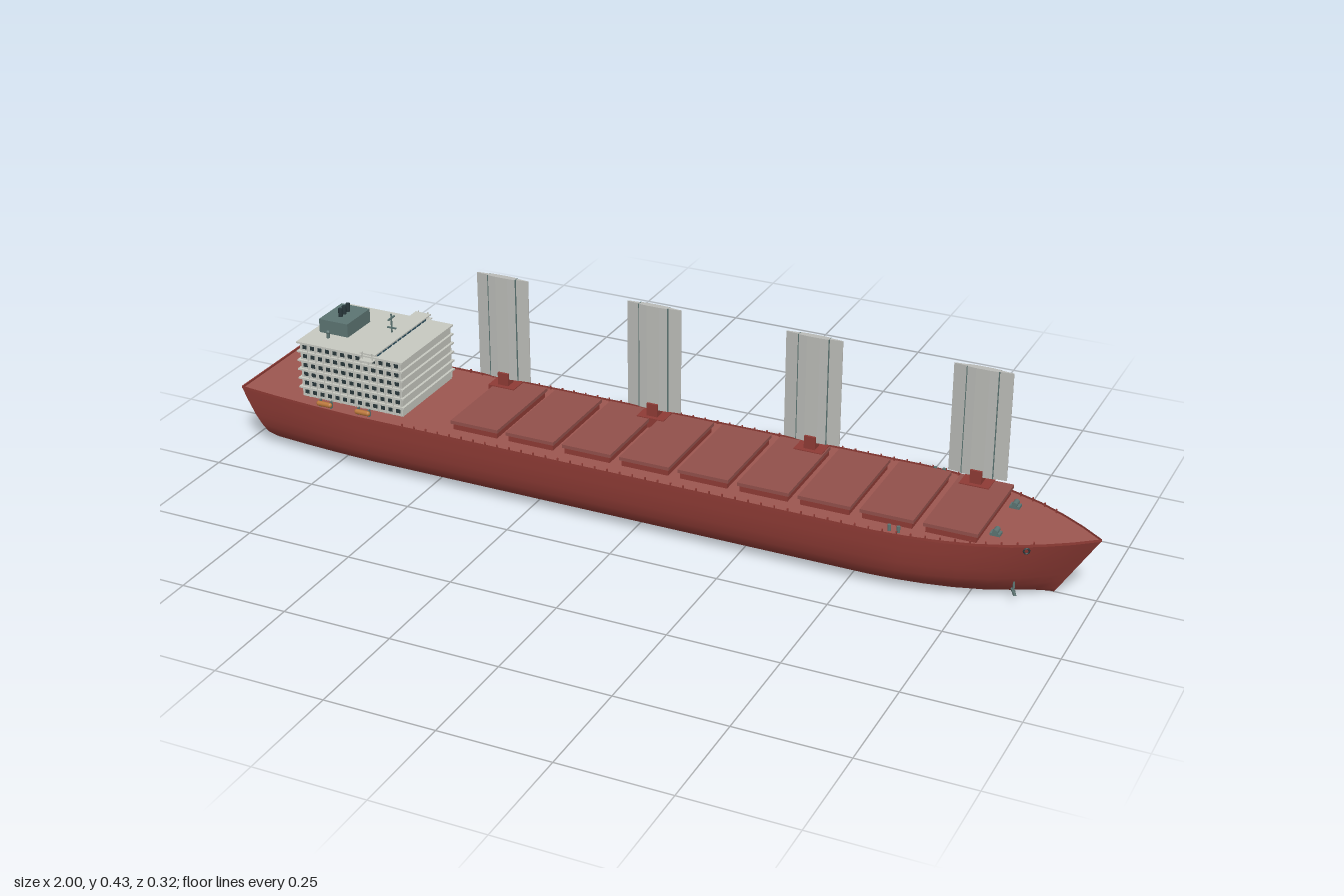
import * as THREE from 'three';
import { mergeGeometries } from 'three/addons/utils/BufferGeometryUtils.js';

const mat = (color) => new THREE.MeshStandardMaterial({ color, side: THREE.DoubleSide });
const DECK = 0.145;

// Deck outline: x, half width
const outline = [[-1, 0.136], [-0.9, 0.147], [-0.8, 0.155], [-0.68, 0.161], [-0.3, 0.161], [0.2, 0.161], [0.56, 0.161],
  [0.63, 0.156], [0.7, 0.145], [0.77, 0.128], [0.84, 0.102], [0.9, 0.07], [0.95, 0.038], [0.98, 0.015], [1, 0]];
// Midship section: share of half width, y
const section = [[1, 0.145], [0.995, 0.115], [0.975, 0.08], [0.93, 0.055], [0.87, 0.035], [0.69, 0.013], [0.38, 0.005], [0, 0.003]];
const ring = [...section, ...section.slice(0, -1).reverse().map(([w, y]) => [-w, y])];

function halfWidth(x) {
  const i = Math.max(1, outline.findIndex((p) => p[0] >= x));
  const [a, b] = [outline[i - 1], outline[i]];
  return a[1] + (b[1] - a[1]) * (x - a[0]) / (b[0] - a[0]);
}

// Skin over rows of points with equal length
function loft(rows) {
  const n = rows[0].length, index = [];
  for (let i = 0; i < rows.length - 1; i++) {
    for (let j = 0; j < n - 1; j++) {
      const a = i * n + j, b = a + n;
      index.push(a, a + 1, b, a + 1, b + 1, b);
    }
  }
  const g = new THREE.BufferGeometry();
  g.setAttribute('position', new THREE.Float32BufferAttribute(rows.flat(2), 3));
  g.setIndex(index);
  g.computeVertexNormals();
  return g;
}

// Raked stem and stern: ends draw in towards the keel
function hullPoint(x, hw, [w, y]) {
  const drop = 1 - y / DECK;
  const rake = x > 0 ? 0.093 * Math.max(0, (x - 0.4) / 0.6) : -0.068 * Math.max(0, (-x - 0.6) / 0.4);
  return [x - rake * drop, y, w * hw];
}

const box = (w, h, d, x, y, z) => new THREE.BoxGeometry(w, h, d).translate(x, y, z);
const rod = (r, h, x, y, z, n = 8) => new THREE.CylinderGeometry(r, r, h, n).translate(x, y, z);

export function createModel() {
  const ship = new THREE.Group();
  const red = mat(0x8e3b35), deckRed = mat(0x9c5650), hatchRed = mat(0x91504b), white = mat(0xc6c8c0);
  const teal = mat(0x5c7472), dark = mat(0x27363a), glass = mat(0x2c5060), orange = mat(0xb87638), sailGrey = mat(0xb9bab6);
  const add = (name, geos, material, parent = ship) => {
    const mesh = new THREE.Mesh(Array.isArray(geos) ? mergeGeometries(geos) : geos, material);
    mesh.name = name;
    parent.add(mesh);
    return mesh;
  };

  // Hull, transom and deck
  add('hull', loft(outline.map(([x, hw]) => ring.map((p) => hullPoint(x, hw, p)))), red);
  const [sx, sw] = outline[0];
  add('transom', loft([section.map(([w, y]) => hullPoint(sx, sw, [-w, y])), section.map((p) => hullPoint(sx, sw, p))]), red);
  add('deck', loft(outline.map(([x, hw]) => [[x, DECK - 0.001, -hw], [x, DECK - 0.001, hw]])), deckRed);
  for (const s of [1, -1]) {
    add('bulwark', loft(outline.map(([x, hw]) => [[x, DECK - 0.002, s * hw], [x, DECK + 0.004, s * hw]])), red);
  }
  add('sternBulwark', box(0.003, 0.006, 0.27, -0.9985, 0.146, 0), red);

  // Rail posts along the deck edge
  const posts = [];
  for (let x = -0.56; x < 0.9; x += 0.03) {
    for (const s of [1, -1]) posts.push(box(0.003, 0.009, 0.003, x, 0.149, s * (halfWidth(x) - 0.003)));
  }
  add('railPosts', posts, red);

  // Cargo hatches
  const coamings = [], covers = [];
  for (let i = 0; i < 9; i++) {
    const x = -0.398 + 0.139 * i;
    coamings.push(box(0.11, 0.016, 0.23, x, 0.152, 0));
    covers.push(box(0.118, 0.008, 0.24, x, 0.163, 0));
  }
  add('hatchCoamings', coamings, red);
  add('hatchCovers', covers, hatchRed);

  // Accommodation block: floors, overhanging slabs, window rows
  const house = new THREE.Group();
  house.name = 'accommodation';
  ship.add(house);
  add('houseWalls', box(0.264, 0.135, 0.222, -0.717, 0.2125, 0), white, house);
  const slabs = [], windows = [], balconyPosts = [];
  for (let f = 0; f < 6; f++) {
    const y = 0.168 + f * 0.0223;
    slabs.push(box(0.276, 0.004, 0.234, -0.717, y, 0));
    for (let k = 0; k < 13; k++) {
      const x = -0.837 + k * 0.02;
      for (const s of [1, -1]) {
        windows.push(box(0.01, 0.009, 0.002, x, y - 0.011, s * 0.1115));
        balconyPosts.push(box(0.002, 0.02, 0.002, x + 0.01, y - 0.011, s * 0.115));
      }
    }
    for (let k = 0; k < 9; k++) windows.push(box(0.002, 0.009, 0.01, -0.8495, y - 0.011, -0.088 + k * 0.022));
  }
  add('floorSlabs', slabs, white, house);
  add('cabinWindows', windows, dark, house);
  add('balconyPosts', balconyPosts, white, house);

  // Bridge with wings
  const bridge = new THREE.Group();
  bridge.name = 'bridge';
  ship.add(bridge);
  add('bridgeRoof', [box(0.04, 0.003, 0.25, -0.662, 0.2905, 0), box(0.03, 0.01, 0.225, -0.662, 0.284, 0)], white, bridge);
  const panes = [];
  for (let i = 0; i < 10; i++) {
    for (const s of [1, -1]) panes.push(box(0.002, 0.008, 0.017, -0.662 + s * 0.0155, 0.2845, -0.099 + i * 0.022));
  }
  add('bridgeWindows', panes, glass, bridge);
  const wings = [box(0.034, 0.002, 0.272, -0.662, 0.277, 0)];
  for (const s of [1, -1]) wings.push(rod(0.0015, 0.018, -0.65, 0.286, s * 0.125), rod(0.0015, 0.018, -0.675, 0.286, s * 0.125));
  add('bridgeWings', wings, white, bridge);
  add('radarMast', [rod(0.002, 0.05, -0.672, 0.312, 0), box(0.004, 0.003, 0.028, -0.672, 0.327, 0),
    box(0.022, 0.003, 0.004, -0.672, 0.303, 0)], teal, bridge);

  // Funnel casing and exhaust pipes
  add('funnel', box(0.075, 0.036, 0.098, -0.797, 0.296, 0), teal);
  add('exhaustPipes', [-1, 0, 1].map((i) => rod(0.005, 0.024, -0.797, 0.322, i * 0.016, 12)), dark);
  const vents = [];
  for (const s of [1, -1]) {
    vents.push(rod(0.004, 0.014, -0.8, 0.288, s * 0.068), new THREE.SphereGeometry(0.005, 8, 6).translate(-0.8, 0.295, s * 0.068));
  }
  add('roofVents', vents, teal);

  // Wing sails: thick centre with thin leading and trailing flaps
  const half = [[-0.065, 0.001], [-0.036, 0.004], [-0.034, 0.006], [-0.015, 0.0075], [0.015, 0.0075], [0.034, 0.006], [0.036, 0.004], [0.065, 0.001]];
  const profile = new THREE.Shape([...half, ...half.map(([x, z]) => [x, -z]).reverse()].map(([x, z]) => new THREE.Vector2(x, z)));
  const sailGeo = new THREE.ExtrudeGeometry(profile, { depth: 0.25, bevelEnabled: false }).rotateX(-Math.PI / 2);
  [-0.435, -0.058, 0.32, 0.698].forEach((x) => {
    const rig = new THREE.Group();
    rig.name = 'wingSail';
    rig.position.set(x, 0, -0.098);
    ship.add(rig);
    add('sail', sailGeo, sailGrey, rig).position.y = 0.184;
    add('sailEdges', [-0.035, 0.035].map((e) => box(0.002, 0.25, 0.0125, e, 0.309, 0)), teal, rig);
    add('sailBase', [box(0.066, 0.024, 0.046, 0, 0.157, 0), box(0.026, 0.034, 0.026, 0, 0.182, 0)], red, rig);
  });

  // Lifeboats with cradles
  for (const s of [1, -1]) {
    for (const x of [-0.77, -0.67]) {
      const boat = new THREE.Group();
      boat.name = 'lifeboat';
      boat.position.set(x, 0.154, s * 0.147);
      ship.add(boat);
      add('boatHull', new THREE.CapsuleGeometry(0.006, 0.028, 4, 10).rotateZ(Math.PI / 2), orange, boat);
      add('davits', [-1, 1].map((i) => box(0.003, 0.018, 0.008, i * 0.014, -0.002, -s * 0.007)), teal, boat);
    }
  }

  // Mooring gear, anchors and hawse pipes on both bows
  for (const s of [1, -1]) {
    const drum = rod(0.006, 0.02, 0, 0, 0, 12).rotateX(Math.PI / 2).translate(0.795, 0.154, s * 0.065);
    add('windlass', [box(0.022, 0.006, 0.018, 0.795, 0.148, s * 0.065), drum], teal);
    add('bollards', [0.59, 0.61].map((x) => rod(0.004, 0.014, x, 0.152, s * 0.142)), teal);
    const anchor = new THREE.Group();
    anchor.name = 'anchor';
    anchor.position.set(0.84, 0.02, s * 0.064);
    anchor.rotation.y = s * 0.5;
    ship.add(anchor);
    add('anchorShank', [box(0.004, 0.03, 0.004, 0, 0.014, 0), box(0.006, 0.004, 0.03, 0, 0, 0)], teal, anchor);
    add('anchorFlukes', [-1, 1].map((i) => new THREE.ConeGeometry(0.004, 0.014, 6).translate(0, 0.006, i * 0.014)), teal, anchor);
    add('hawsePipe', new THREE.TorusGeometry(0.006, 0.002, 6, 12).rotateY(s * 0.5).translate(0.868, 0.134, s * 0.087), dark);
  }

  // Rudder under the stern
  add('rudder', [box(0.05, 0.03, 0.006, -0.973, 0.018, 0), box(0.03, 0.008, 0.008, -0.938, 0.02, 0)], teal);

  return ship;
}
